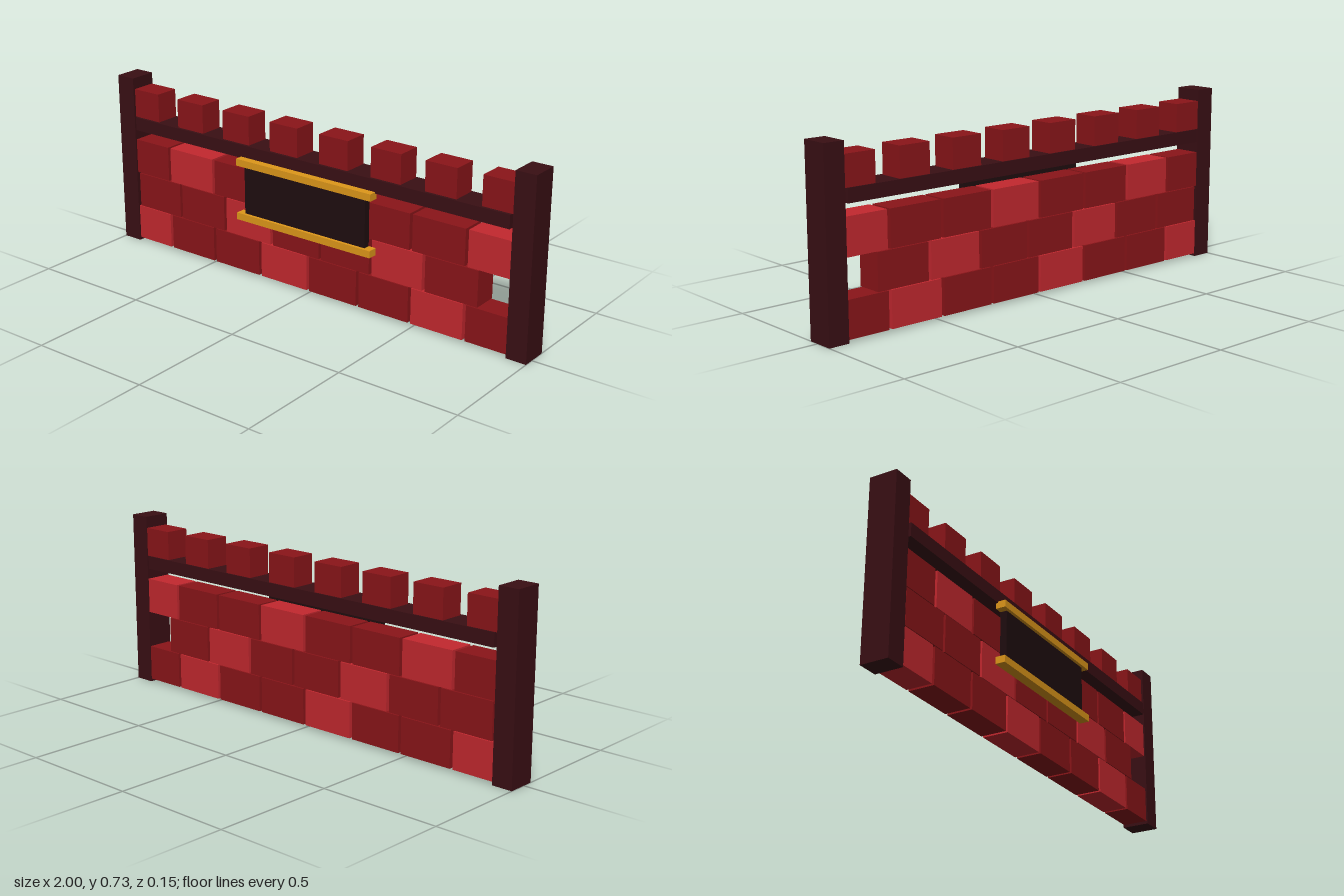
import * as THREE from 'three';

const material = (color) => new THREE.MeshStandardMaterial({ color });

export function createModel() {
  const group = new THREE.Group();
  const darkBrick = material(0x8b1519);
  const brightBrick = material(0xc4282f);
  const darkTimber = material(0x3a0f14);
  const panelBlack = material(0x1f0d0f);
  const gold = material(0xdf981a);

  // Box given by its x centre and width, and its y and z limits
  function box(name, mat, x, width, y0, y1, z0, z1) {
    const mesh = new THREE.Mesh(new THREE.BoxGeometry(width, y1 - y0, z1 - z0), mat);
    mesh.name = name;
    mesh.position.set(x, (y0 + y1) / 2, (z0 + z1) / 2);
    group.add(mesh);
  }

  const pitch = 0.243;
  const columnX = (i) => (i - 3.5) * pitch;

  // Three courses of bricks; the middle one is shifted and one brick short
  for (let row = 0; row < 3; row++) {
    const shifted = row === 1;
    const y = 0.012 + row * 0.15;
    for (let i = 0; i < (shifted ? 7 : 8); i++) {
      const mat = (i + row) % 3 === 0 ? brightBrick : darkBrick;
      box('brick', mat, columnX(i) + (shifted ? 0.06 : 0), 0.23, y, y + 0.147, -0.07, 0.036);
    }
  }

  // Cap beam with battlements on top
  box('capBeam', darkTimber, 0, 1.81, 0.505, 0.56, -0.075, 0.045);
  for (let i = 0; i < 8; i++) {
    box('battlement', darkBrick, columnX(i), 0.136, 0.56, 0.68, -0.07, 0.033);
  }

  // End posts
  for (const side of [-1, 1]) {
    box(side > 0 ? 'leftPost' : 'rightPost', darkTimber, side * 0.9575, 0.085, 0, 0.728, -0.073, 0.042);
  }

  // Front panel between two gold rails
  box('panel', panelBlack, 0, 0.59, 0.27, 0.49, 0.034, 0.064);
  box('lowerRail', gold, 0, 0.655, 0.252, 0.281, 0.036, 0.077);
  box('upperRail', gold, 0, 0.655, 0.482, 0.511, 0.036, 0.077);

  return group;
}
